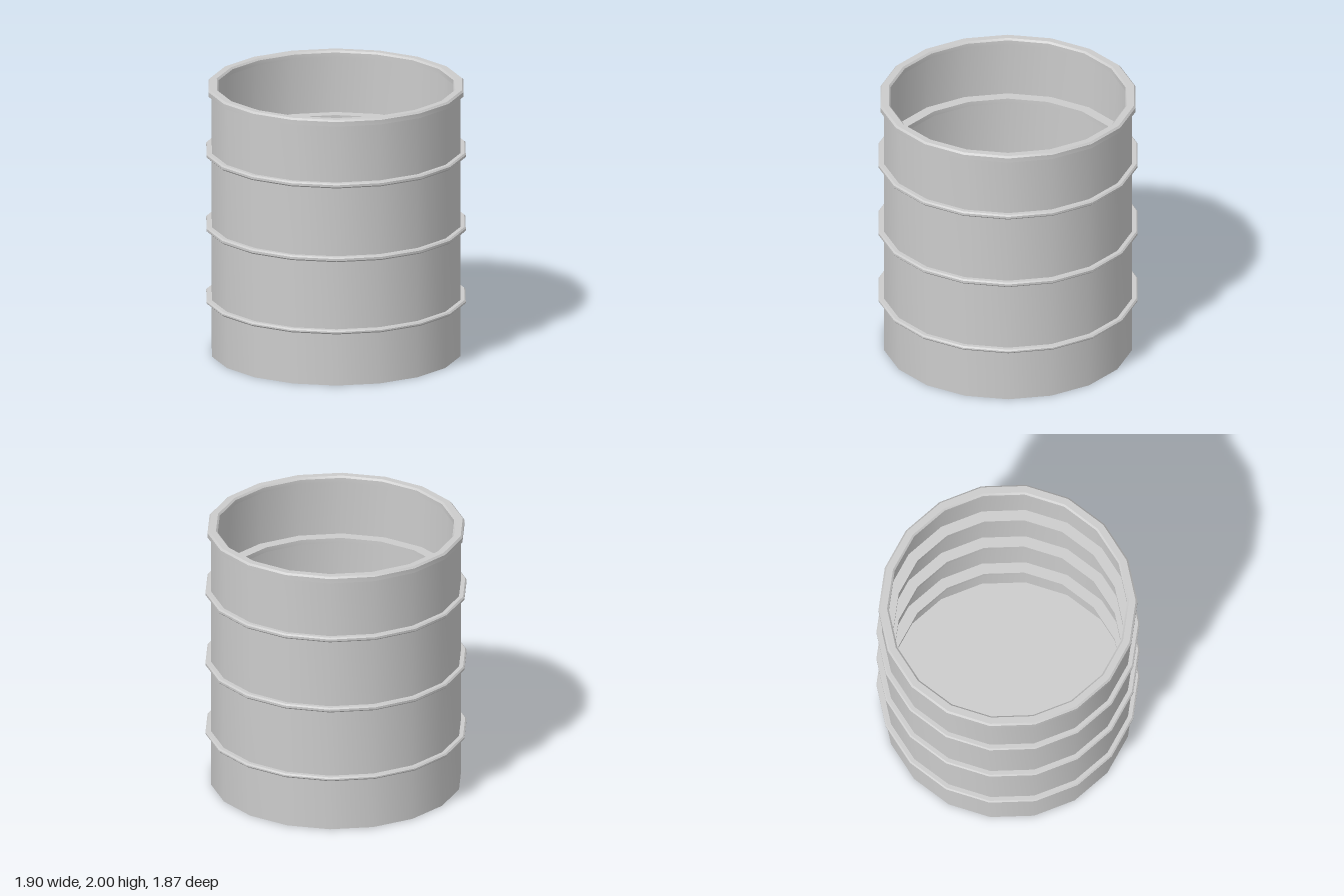
import * as THREE from 'three';
import { toCreasedNormals } from 'three/addons/utils/BufferGeometryUtils.js';

const SIDES = 18;
const solid = new THREE.MeshStandardMaterial({ color: 0xcccccc });
const thin = new THREE.MeshStandardMaterial({ color: 0xcccccc, side: THREE.DoubleSide });

// Revolve a counter-clockwise [radius, y] profile; a corner points along +x
function revolve(name, profile, material = solid) {
  const points = profile.map(([r, y]) => new THREE.Vector2(r, y));
  const lathe = new THREE.LatheGeometry(points, SIDES, Math.PI / SIDES);
  const mesh = new THREE.Mesh(toCreasedNormals(lathe, 0.5), material);
  mesh.name = name;
  return mesh;
}

export function createModel() {
  const group = new THREE.Group();
  group.name = 'openBarrel';

  // Thin sheet body: closed underside and open-topped wall
  group.add(revolve('body', [[0, 0], [0.91, 0], [0.91, 1.97]], thin));

  // Lip, bevelled along the top and overhanging the wall on both sides
  group.add(revolve('rim', [
    [0.86, 1.953], [0.935, 1.953], [0.935, 1.987], [0.922, 2],
    [0.873, 2], [0.86, 1.987], [0.86, 1.953],
  ]));

  // Hoops pass through the wall; only their outer edges are bevelled
  const bevel = 0.01;
  [[0.408, 0.03], [0.954, 0.036], [1.508, 0.036]].forEach(([y, height], i) => {
    const bottom = y - height / 2;
    const top = y + height / 2;
    group.add(revolve(`hoop${i + 1}`, [
      [0.83, bottom], [0.95 - bevel, bottom], [0.95, bottom + bevel],
      [0.95, top - bevel], [0.95 - bevel, top], [0.83, top], [0.83, bottom],
    ]));
  });

  return group;
}
